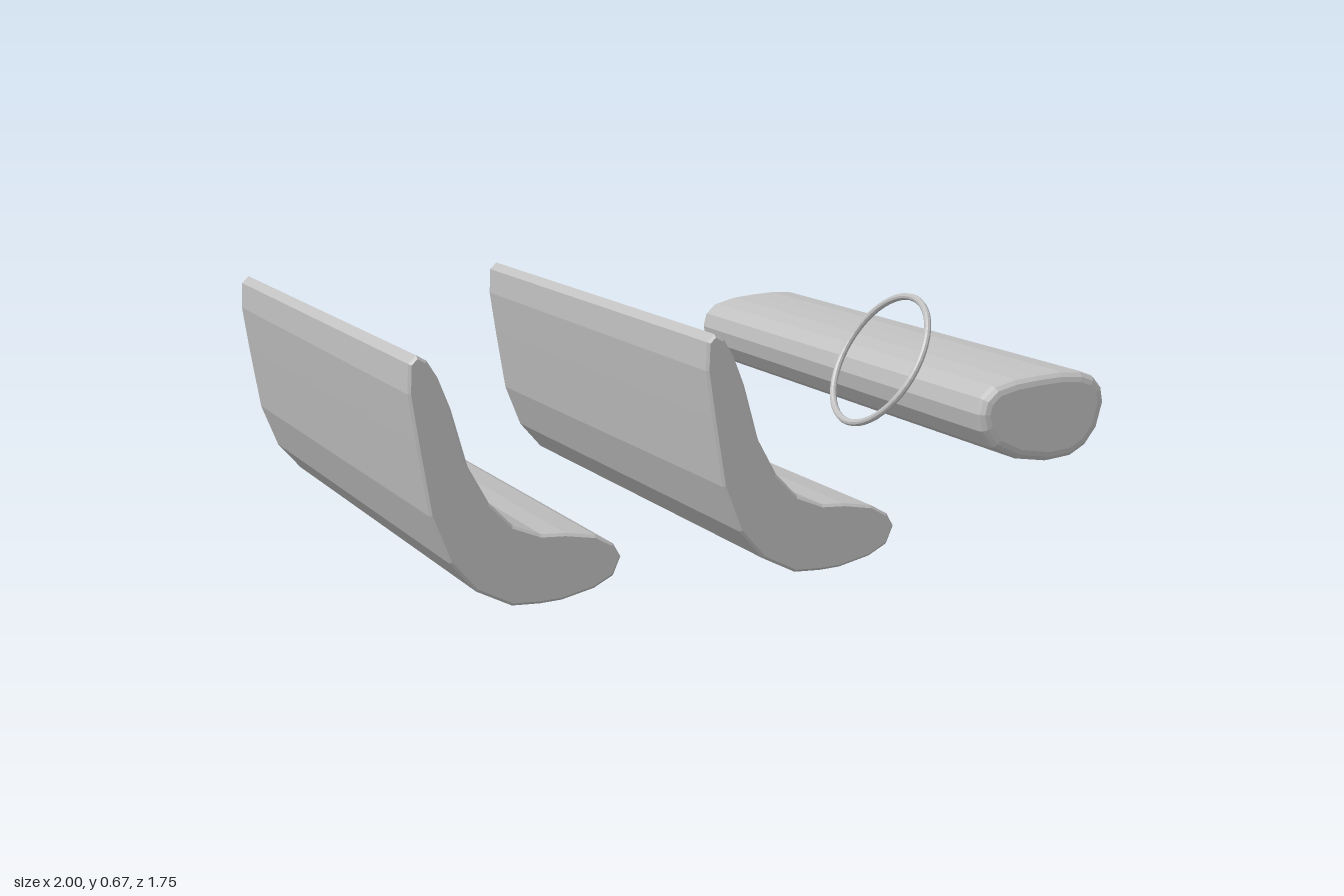
import * as THREE from 'three';

const grey = new THREE.MeshStandardMaterial({ color: 0xc0c0c0 });
grey.name = 'plain grey';
grey.flatShading = true;

// Bench cross-section: tall thin back curving into a rounded seat
const benchProfile = [
  [-0.997, 0.64], [-0.976, 0.66], [-0.95, 0.645], [-0.922, 0.6], [-0.89, 0.52], [-0.848, 0.372],
  [-0.794, 0.275], [-0.73, 0.21], [-0.655, 0.18], [-0.59, 0.177], [-0.505, 0.163], [-0.457, 0.136],
  [-0.436, 0.1], [-0.457, 0.052], [-0.51, 0.024], [-0.6, 0.003], [-0.66, 0], [-0.735, 0.003], [-0.83, 0.05],
  [-0.9, 0.13], [-0.95, 0.255], [-0.981, 0.44], [-1, 0.565],
];

// Bolster cross-section: soft flattened oval
const bolsterProfile = [
  [0.591, 0.398], [0.602, 0.441], [0.639, 0.473], [0.703, 0.489], [0.775, 0.496], [0.848, 0.5],
  [0.917, 0.495], [0.96, 0.479], [0.987, 0.447], [0.995, 0.404], [0.976, 0.334], [0.939, 0.286],
  [0.89, 0.259], [0.815, 0.251], [0.719, 0.265], [0.639, 0.302], [0.602, 0.35],
];

// Extrude a cross-section along z, centred, with edges bevelled inward
function bar(name, profile, halfLength, bevel, segments) {
  const shape = new THREE.Shape(profile.map(([x, y]) => new THREE.Vector2(x, y)));
  const geometry = new THREE.ExtrudeGeometry(shape, {
    depth: 2 * (halfLength - bevel),
    bevelEnabled: true,
    bevelThickness: bevel,
    bevelSize: bevel,
    bevelOffset: -bevel,
    bevelSegments: segments,
  });
  geometry.translate(0, 0, bevel - halfLength);
  const mesh = new THREE.Mesh(geometry, grey);
  mesh.name = name;
  return mesh;
}

export function createModel() {
  const model = new THREE.Group();
  model.name = 'benchesAndBolster';

  // Two identical benches side by side
  ['rightBench', 'middleBench'].forEach((name, i) => {
    const bench = bar(name, benchProfile, 0.805, 0.007, 1);
    bench.position.x = i * 0.805;
    model.add(bench);
  });

  // Long bolster
  model.add(bar('bolster', bolsterProfile, 0.877, 0.028, 3));

  // Tilted thin ring beside the bolster
  const ring = new THREE.Mesh(new THREE.TorusGeometry(0.2, 0.01, 10, 48), grey);
  ring.name = 'ring';
  ring.rotation.set(0, Math.PI / 2, -Math.PI / 6, 'ZYX');
  ring.position.set(0.535, 0.487, 0.423);
  model.add(ring);

  return model;
}
